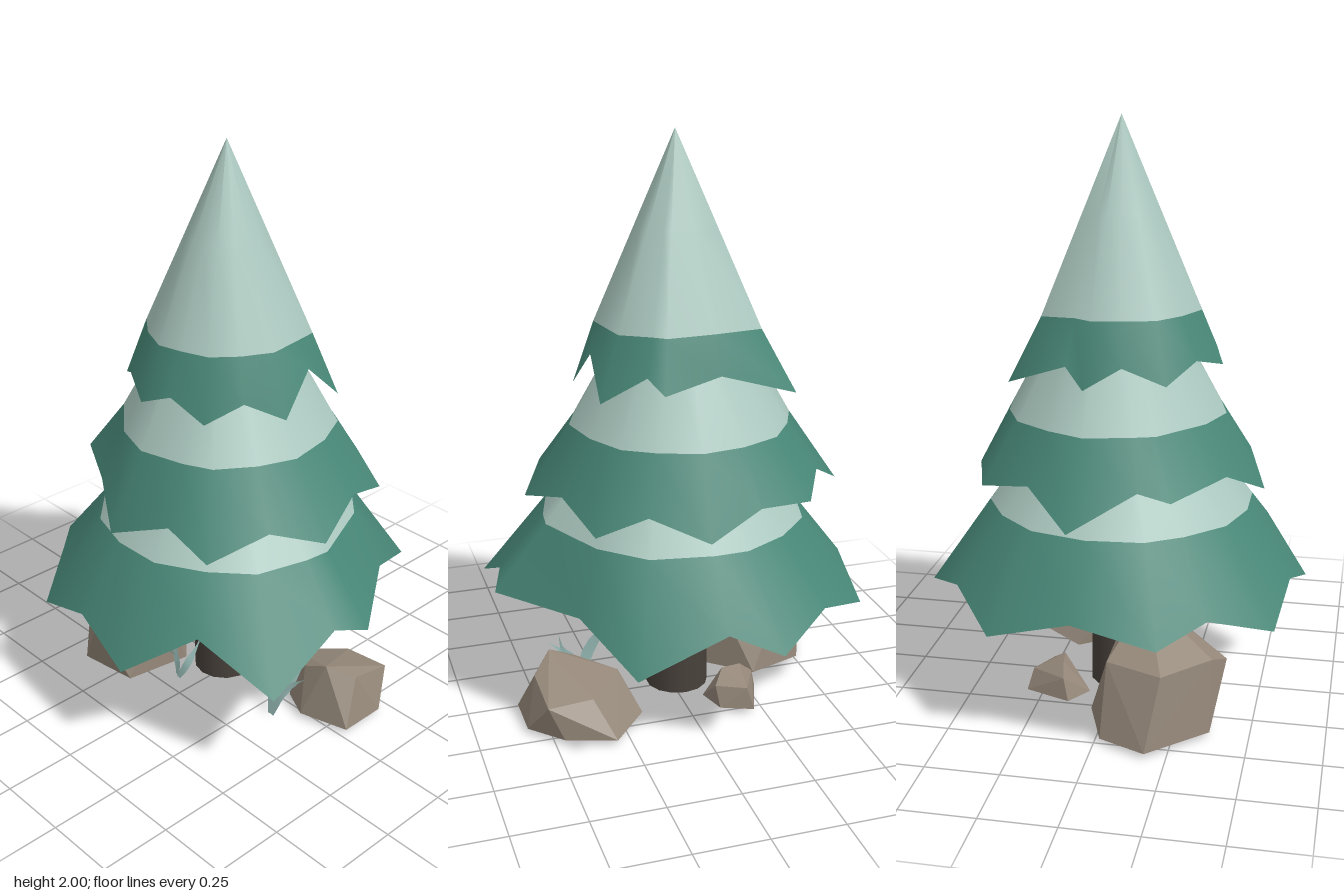
import * as THREE from 'three';
import { ConvexGeometry } from 'three/addons/geometries/ConvexGeometry.js';

const mat = (name, color, extra = {}) => {
  const m = new THREE.MeshStandardMaterial({ color, ...extra });
  m.name = name;
  return m;
};

// Ragged cone: apex fan and snow ring, then a needle band down to the jagged rim
function tierGeometry({ apex, snow, wobble, rim }) {
  const [cx, topY, cz] = apex;
  const [snowY, snowR] = snow;
  const pts = rim
    .map(([x, y, z]) => ({ x, y, z, a: Math.atan2(z - cz, x - cx), r: Math.hypot(x - cx, z - cz) }))
    .sort((p, q) => p.a - q.a);
  const n = pts.length;
  const mean = pts.reduce((s, p) => s + p.r, 0) / n;
  const pos = [], index = [];
  const ring = (t) => {
    for (const p of pts) {
      const r = t * snowR * (1 + wobble * (p.r / mean - 1));
      pos.push(cx + r * Math.cos(p.a), topY + (snowY - topY) * t, cz + r * Math.sin(p.a));
    }
  };
  [0.002, 0.5, 1].forEach(ring);
  for (const p of pts) pos.push(p.x, p.y, p.z);
  for (let k = 0; k < 3; k++) {
    for (let i = 0; i < n; i++) {
      const j = (i + 1) % n, u = k * n, l = u + n;
      index.push(u + i, u + j, l + i, u + j, l + j, l + i);
    }
  }
  const g = new THREE.BufferGeometry();
  g.setAttribute('position', new THREE.Float32BufferAttribute(pos, 3));
  g.setIndex(index);
  g.addGroup(0, n * 12, 0);
  g.addGroup(n * 12, n * 6, 1);
  g.computeVertexNormals();
  return g;
}

// Flat tapered blade along a curve
function bladeGeometry(points, width) {
  const curve = new THREE.CatmullRomCurve3(points.map((p) => new THREE.Vector3(...p)));
  const pos = [], index = [], steps = 8;
  for (let i = 0; i <= steps; i++) {
    const t = i / steps, p = curve.getPoint(t), d = curve.getTangent(t);
    const w = width * (0.5 + 0.5 * Math.sin(Math.PI * Math.min(1, t * 1.4))) * Math.min(1, (1 - t) * 2 + 0.05) / 2;
    const len = Math.hypot(d.x, d.y);
    const nx = (-d.y / len) * w, ny = (d.x / len) * w;
    pos.push(p.x + nx, p.y + ny, p.z, p.x - nx, p.y - ny, p.z);
    if (i < steps) {
      const a = i * 2;
      index.push(a, a + 1, a + 2, a + 1, a + 3, a + 2);
    }
  }
  const g = new THREE.BufferGeometry();
  g.setAttribute('position', new THREE.Float32BufferAttribute(pos, 3));
  g.setIndex(index);
  g.computeVertexNormals();
  return g;
}

export function createModel() {
  const tree = new THREE.Group();
  tree.name = 'snowyPine';
  const two = { side: THREE.DoubleSide };
  const snow = mat('snow', 0xabc8bf, two);
  const needles = mat('needles', 0x488777, two);
  const bark = mat('bark', 0x48413b);
  const stone = mat('stone', 0x948779, { flatShading: true });
  const grass = mat('frostedGrass', 0xa3c9c4, two);

  const add = (name, geometry, material, parent = tree) => {
    const mesh = new THREE.Mesh(geometry, material);
    mesh.name = name;
    parent.add(mesh);
    return mesh;
  };

  // Foliage tiers, each rim alternating tip and notch
  const tiers = {
    lowerFoliage: {
      apex: [0, 1.3, 0], snow: [0.69, 0.455], wobble: 0.2,
      rim: [
        [-0.18, 0.4, -0.64], [-0.01, 0.47, -0.585], [0.3, 0.37, -0.61], [0.42, 0.48, -0.34],
        [0.64, 0.465, -0.03], [0.6, 0.5, 0.09], [0.61, 0.37, 0.38], [0.36, 0.53, 0.48],
        [0.16, 0.375, 0.64], [-0.09, 0.46, 0.6], [-0.34, 0.375, 0.57], [-0.49, 0.46, 0.37],
        [-0.645, 0.415, 0.23], [-0.62, 0.47, -0.05], [-0.585, 0.39, -0.33], [-0.38, 0.47, -0.49],
      ],
    },
    middleFoliage: {
      apex: [-0.027, 1.7, -0.012], snow: [1.02, 0.375], wobble: 0.3,
      rim: [
        [0.03, 0.765, -0.52], [0.21, 0.84, -0.43], [0.37, 0.77, -0.375], [0.43, 0.84, -0.17],
        [0.51, 0.775, 0.05], [0.42, 0.84, 0.22], [0.33, 0.765, 0.41], [0.17, 0.84, 0.43],
        [-0.04, 0.76, 0.5], [-0.22, 0.855, 0.39], [-0.47, 0.84, 0.245], [-0.48, 0.87, 0.14],
        [-0.59, 0.76, -0.065], [-0.45, 0.86, -0.22], [-0.355, 0.82, -0.4], [-0.16, 0.84, -0.46],
      ],
    },
    upperFoliage: {
      apex: [-0.012, 2, 0], snow: [1.37, 0.272], wobble: 0.55,
      rim: [
        [-0.33, 1.17, -0.31], [-0.08, 1.24, -0.285], [0.12, 1.2, -0.32], [0.165, 1.25, -0.27],
        [0.305, 1.16, -0.21], [0.3, 1.29, -0.07], [0.33, 1.16, 0.06], [0.26, 1.23, 0.18],
        [0.185, 1.165, 0.285], [0.06, 1.23, 0.315], [-0.045, 1.19, 0.35], [-0.18, 1.23, 0.28],
        [-0.3, 1.17, 0.2], [-0.325, 1.23, 0.06], [-0.36, 1.16, -0.06], [-0.295, 1.22, -0.13],
      ],
    },
  };
  for (const [name, spec] of Object.entries(tiers)) add(name, tierGeometry(spec), [snow, needles]);

  // Trunk
  add('trunk', new THREE.CylinderGeometry(0.105, 0.112, 0.8, 14), bark).position.set(-0.02, 0.41, 0.005);

  // Faceted rocks
  const rocks = {
    largeRock: [
      [-0.57, 0.015, 0.18], [-0.39, 0.015, 0.37], [-0.17, 0.015, 0.34], [-0.13, 0.015, 0.1],
      [-0.3, 0.015, -0.05], [-0.5, 0.015, 0.02],
      [-0.49, 0.25, 0.22], [-0.35, 0.26, 0.37], [-0.27, 0.23, 0.41], [-0.16, 0.33, 0.2],
      [-0.17, 0.34, 0.06], [-0.43, 0.26, 0.03], [-0.22, 0.41, 0.13],
    ],
    sideRock: [
      [0.17, 0.015, -0.2], [0.3, 0.015, -0.02], [0.4, 0.015, 0.03], [0.575, 0.015, -0.02],
      [0.575, 0.015, -0.19], [0.47, 0.015, -0.3], [0.3, 0.015, -0.355],
      [0.23, 0.14, -0.1], [0.37, 0.18, -0.02], [0.46, 0.22, -0.03], [0.53, 0.17, -0.11],
      [0.52, 0.13, -0.28], [0.36, 0.13, -0.26],
    ],
    smallRock: [
      [-0.27, 0.015, -0.14], [-0.21, 0.015, -0.3], [-0.1, 0.015, -0.255], [-0.07, 0.015, -0.15],
      [-0.18, 0.015, -0.08],
      [-0.25, 0.09, -0.16], [-0.19, 0.09, -0.28], [-0.09, 0.09, -0.23], [-0.2, 0.13, -0.17], [-0.13, 0.13, -0.18],
    ],
  };
  for (const [name, pts] of Object.entries(rocks)) {
    add(name, new ConvexGeometry(pts.map((p) => new THREE.Vector3(...p))), stone);
  }

  // Grass tufts
  const tufts = {
    rightTuft: [
      [[[0.315, 0, 0.095], [0.3, 0.12, 0.075], [0.24, 0.24, 0.04], [0.15, 0.325, 0.01]], 0.045],
      [[[0.32, 0, 0.095], [0.35, 0.1, 0.08], [0.39, 0.16, 0.06], [0.41, 0.235, 0.03]], 0.038],
      [[[0.35, 0.1, 0.08], [0.4, 0.16, 0.065], [0.445, 0.2, 0.06]], 0.018],
    ],
    leftTuft: [
      [[[-0.06, 0.01, 0.2], [-0.085, 0.09, 0.19], [-0.13, 0.15, 0.16], [-0.155, 0.22, 0.14]], 0.03],
      [[[-0.06, 0.01, 0.2], [-0.025, 0.08, 0.19], [-0.01, 0.14, 0.16], [0, 0.21, 0.13]], 0.03],
      [[[-0.07, 0.02, 0.2], [-0.06, 0.08, 0.2], [-0.085, 0.14, 0.19]], 0.02],
      [[[-0.09, 0.09, 0.19], [-0.13, 0.12, 0.21], [-0.16, 0.14, 0.22]], 0.014],
    ],
  };
  for (const [name, blades] of Object.entries(tufts)) {
    const tuft = new THREE.Group();
    tuft.name = name;
    tree.add(tuft);
    for (const [path, width] of blades) add('blade', bladeGeometry(path, width), grass, tuft);
  }
  return tree;
}
